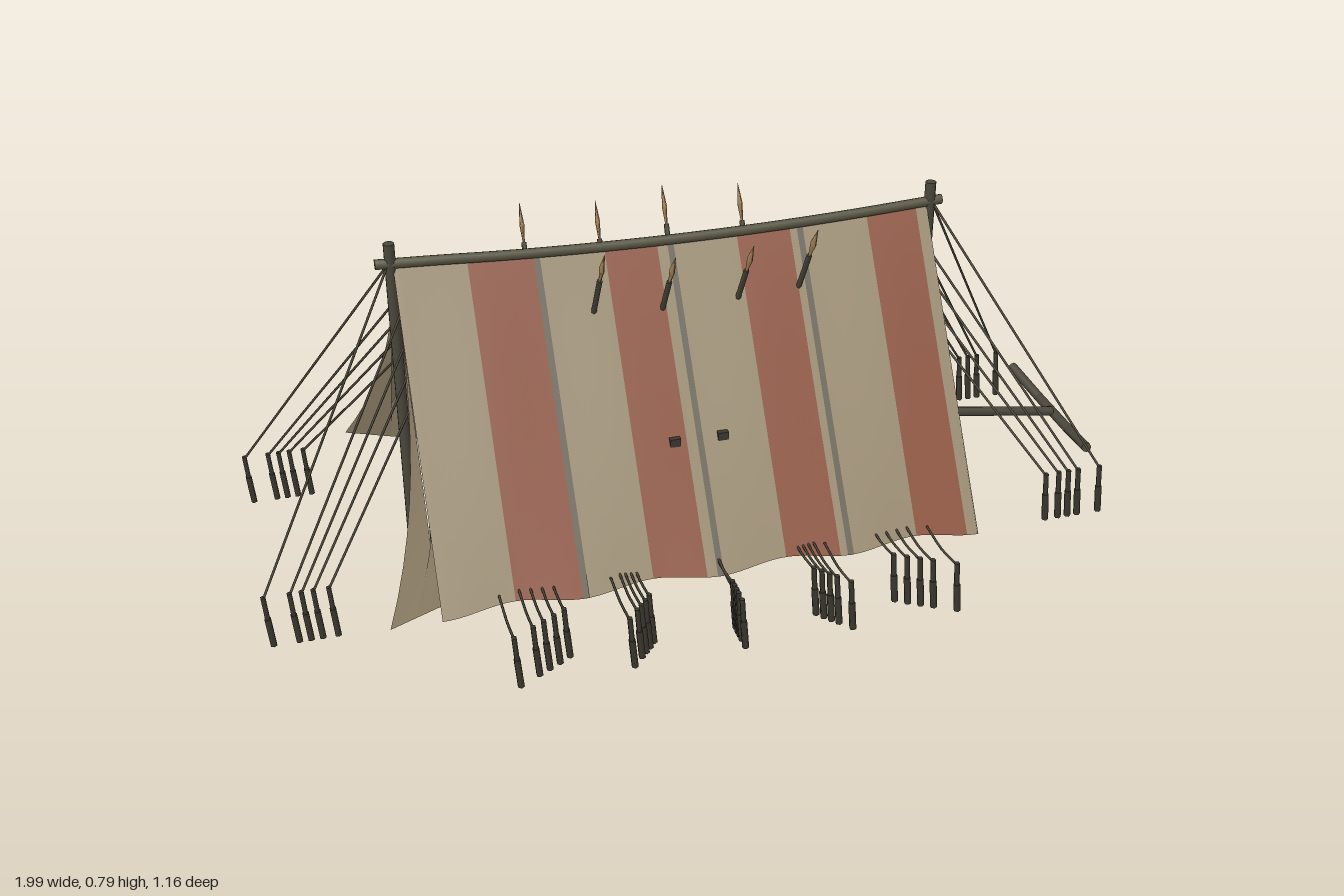
import * as THREE from 'three';
import { ParametricGeometry } from 'three/addons/geometries/ParametricGeometry.js';

const mat = (name, color, side = THREE.FrontSide) => {
  const m = new THREE.MeshStandardMaterial({ color, side });
  m.name = name;
  return m;
};

export function createModel() {
  const canvas = mat('tan canvas', 0x9a8b70, THREE.DoubleSide);
  const red = mat('red canvas', 0x8d533d, THREE.DoubleSide);
  const seamGrey = mat('seam grey', 0x6b6557, THREE.DoubleSide);
  const wood = mat('dark wood', 0x4a463c);
  const ridgeWood = mat('ridge wood', 0x55523f);
  const peg = mat('peg wood', 0x3b372f);
  const rope = mat('rope', 0x4a4538);
  const blade = mat('spear blade', 0xa17f56);

  const model = new THREE.Group();
  model.name = 'ridgeTent';
  const V = (x, y, z) => new THREE.Vector3(x, y, z);
  const group = (name) => {
    const g = new THREE.Group();
    g.name = name;
    model.add(g);
    return g;
  };
  const add = (parent, name, geometry, material) => {
    const m = new THREE.Mesh(geometry, material);
    m.name = name;
    parent.add(m);
    return m;
  };
  // Round bar from a to b
  const bar = (parent, name, a, b, r, material, sides = 8, rEnd = r) => {
    const d = b.clone().sub(a);
    const m = add(parent, name, new THREE.CylinderGeometry(rEnd, r, d.length(), sides), material);
    m.position.copy(a).addScaledVector(d, 0.5);
    m.quaternion.setFromUnitVectors(V(0, 1, 0), d.normalize());
    return m;
  };
  const tube = (parent, name, points, r, material, segments = 12, sides = 5) =>
    add(parent, name, new THREE.TubeGeometry(new THREE.CatmullRomCurve3(points), segments, r, sides), material);

  // Nested layers: length factor and inward step of each, outermost first
  const spread = [1, 0.908, 0.857, 0.806, 0.755];
  const inset = [0, 0.026, 0.04, 0.054, 0.07];

  // Sagging roof cloth: t runs from the ridge (0) to the wavy hem (1)
  const ridgeY = (x) => 0.722 + 0.022 * Math.min(1, (x / 0.62) ** 2);
  const roofPoint = (x, t, side, lift, step, target) => {
    const wave = Math.cos((x + 0.015) * Math.PI * 2 / 0.305);
    const top = ridgeY(x) - step * 1.35, hem = 0.106 - 0.007 * wave;
    target.set(x, top + (hem - top) * t + lift * 0.55, side * (t * (0.413 - step + 0.006 * wave * t) + lift * 0.83));
  };
  const cloth = (parent, name, x0, x1, side, lift, step, material, slices = 10) =>
    add(parent, name, new ParametricGeometry((u, v, p) => roofPoint(x0 + (x1 - x0) * u, v, side, lift, step, p), slices, 14), material);
  const edges = [-0.63, -0.47, -0.32, -0.165, -0.045, 0.14, 0.265, 0.45, 0.57, 0.597];
  const roof = group('roof');
  for (const side of [1, -1]) {
    for (let i = 0; i < edges.length - 1; i++)
      cloth(roof, i % 2 ? 'redStripe' : 'tanPanel', edges[i], edges[i + 1], side, 0, 0, i % 2 ? red : canvas);
    for (const x of [-0.318, -0.015, 0.288]) cloth(roof, 'seam', x - 0.007, x + 0.007, side, 0.003, 0, seamGrey);
  }

  const lining = group('lining'), flaps = group('doorFlaps'), frame = group('frame');
  spread.forEach((s, k) => {
    const step = inset[k], left = -0.615 * s - 0.015, right = 0.61 * s - 0.015, top = 0.735 - step * 1.35;
    // Plain inner roof layers
    if (k) for (const side of [1, -1]) cloth(lining, 'innerRoof', left, right, side, 0, step, canvas, 40);

    // Closed gable
    const w = 0.419 - step;
    const gable = new THREE.Shape([[-w, 0.1], [w, 0.1], [0, top]].map((p) => new THREE.Vector2(...p)));
    const wall = add(lining, 'gableWall', new THREE.ShapeGeometry(gable), canvas);
    wall.rotation.y = Math.PI / 2;
    wall.position.x = right;

    // Door flaps swept outward at the open end
    for (const side of [1, -1])
      add(flaps, 'doorFlap', new ParametricGeometry((u, v, p) => {
        const z = v * (0.418 - step - 0.05 * (1 - u) * v);
        p.set(left - 0.11 * v ** 2.8 * u, top - v * (top - 0.1), side * z);
      }, 4, 12), canvas);

    // Ridge pole and end posts
    const ridge = [];
    for (let i = 0; i <= 10; i++) {
      const x = (-0.648 + i * 0.1295) * s - 0.017;
      ridge.push(V(x, ridgeY(x) + 0.003 - step * 1.35, 0));
    }
    tube(frame, 'ridgePole', ridge, 0.012, ridgeWood, 24, 8);
    for (const p of [ridge[0], ridge[10]])
      bar(frame, 'ridgeEnd', p.clone().add(V(-0.003, 0, 0)), p.clone().add(V(0.003, 0, 0)), 0.012, ridgeWood);
    for (const x of [-0.62, 0.62])
      bar(frame, 'endPost', V(x * s - 0.015, 0.06, 0), V(x * s - 0.015, k ? top : 0.793, 0), 0.0125, wood, 10);
  });

  // Row of stub posts beneath, with a round floor mat
  const base = group('base');
  for (let i = 0; i < 16; i++) {
    const x = -0.575 + i * 0.0747;
    bar(base, 'stubPost', V(x, 0, 0), V(x, 0.2, 0), 0.022, wood, 10);
  }
  const matShape = new THREE.Shape();
  for (let i = 0; i < 72; i++) {
    const a = i / 72 * Math.PI * 2, r = 0.175 + 0.008 * Math.cos(a * 18);
    matShape[i ? 'lineTo' : 'moveTo'](r * Math.cos(a), r * Math.sin(a));
  }
  const floor = add(base, 'floorMat', new THREE.ExtrudeGeometry(matShape, { depth: 0.015, bevelEnabled: false }), wood);
  floor.rotation.x = -Math.PI / 2;
  floor.position.y = 0.088;

  // Small toggles on both slopes
  for (const side of [1, -1])
    for (const x of [-0.072, 0.038])
      add(base, 'toggle', new THREE.BoxGeometry(0.024, 0.034, 0.024), peg).position.set(x, 0.345, side * 0.242);

  // Crossed spears leaning through the roof, with flat leaf blades
  const spears = group('spears');
  const spear = (x, side, tip) => {
    const a = V(x - 0.015, 0.07, -side * 0.22), b = V(x, tip, side * 0.175);
    const neck = a.clone().lerp(b, 0.89), swell = a.clone().lerp(b, 0.94);
    bar(spears, 'spearShaft', a, neck, 0.0062, wood, 6);
    for (const [p, q, r0, r1] of [[neck, swell, 0.005, 0.012], [swell, b, 0.012, 0.001]])
      bar(spears, 'spearBlade', p, q, r0, blade, 6, r1).scale.x = 0.45;
  };
  [-0.205, -0.05, 0.125, 0.27].forEach((x, i) => spear(x, 1, [0.79, 0.765, 0.77, 0.79][i]));
  [-0.318, -0.143, 0.015, 0.197].forEach((x, i) => spear(x, -1, [0.775, 0.76, 0.78, 0.765][i]));

  // Drawbar with a bent crossbar
  const drawbar = group('drawbar');
  bar(drawbar, 'shaft', V(0.56, 0.191, 0), V(0.98, 0.127, 0), 0.012, wood, 8);
  const bend = [V(0.968, 0.145, -0.21), V(0.987, 0.119, -0.085), V(0.987, 0.119, 0.085), V(0.968, 0.145, 0.21)];
  for (let i = 0; i < 3; i++) bar(drawbar, 'crossbar', bend[i], bend[i + 1], 0.012, wood, 8);

  // Guy ropes and slightly leaning pegs for every layer
  const guys = group('guyRopes');
  const stake = (x, z) => {
    bar(guys, 'peg', V(x + 0.01, 0.017, z), V(x + 0.004, 0.088, z), 0.0078, peg, 6);
    bar(guys, 'pegNeck', V(x + 0.004, 0.088, z), V(x, 0.145, z), 0.006, peg, 6);
  };
  const reach = [0.975, 0.92, 0.895, 0.87, 0.837];
  const pegZ = [0.572, 0.546, 0.532, 0.518, 0.502];
  spread.forEach((s, k) => {
    for (const side of [1, -1]) {
      for (const end of [1, -1]) {
        const x = end * reach[k] - 0.015, z = side * 0.293;
        bar(guys, 'endRope', V(end * 0.625 * s - 0.015, 0.745 - inset[k] * 1.35, 0), V(x, 0.14, z), 0.003, rope, 5);
        stake(x, z);
      }
      for (const gx of [-0.49, -0.245, 0, 0.245, 0.49]) {
        const x = gx * s - 0.015, z = pegZ[k], hem = 0.405 - inset[k];
        tube(guys, 'sideRope', [V(x, 0.132, side * hem), V(x, 0.127, side * (hem + z) / 2), V(x, 0.14, side * z)], 0.003, rope, 6);
        stake(x, side * z);
      }
    }
  });

  return model;
}
